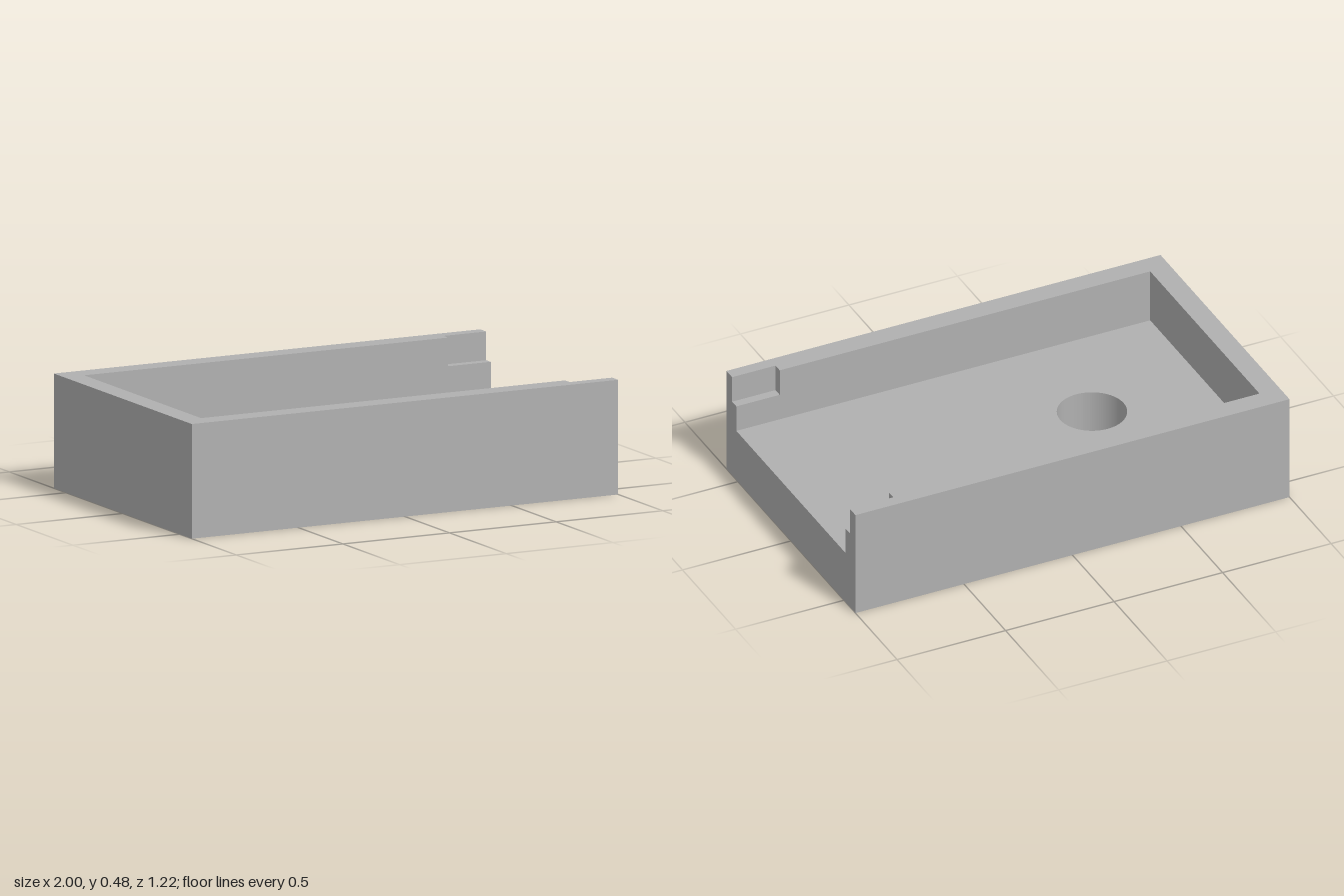
import * as THREE from 'three';

const HALF_X = 1, HALF_Z = 0.608, HEIGHT = 0.484;
const FLOOR_TOP = 0.242, LEDGE_Y = 0.363;       // tray floor and notch ledge heights
const INNER_X = -0.907, INNER_Z = 0.515;        // cavity limits
const NOTCH_X = 0.8, NOTCH_Z = 0.555;           // notches at the open end

export function createModel() {
  const group = new THREE.Group();
  group.name = 'openEndedTray';
  const grey = new THREE.MeshStandardMaterial({ color: 0xb0b0b0 });
  grey.name = 'plain grey';

  // Extrudes a plan outline upwards from y0 to y1
  const addLayer = (name, shape, y0, y1) => {
    const geometry = new THREE.ExtrudeGeometry(shape, { depth: y1 - y0, bevelEnabled: false, curveSegments: 48 });
    geometry.rotateX(-Math.PI / 2).translate(0, y0, 0);
    const mesh = new THREE.Mesh(geometry, grey);
    mesh.name = name;
    group.add(mesh);
  };

  // U-shaped wall plan, mirrored from the inner edge of one side
  const wallPlan = (innerEdge) => new THREE.Shape([
    [HALF_X, HALF_Z], [-HALF_X, HALF_Z], [-HALF_X, -HALF_Z], [HALF_X, -HALF_Z],
    ...innerEdge.map(([x, z]) => [x, -z]),
    ...[...innerEdge].reverse(),
  ].map(([x, z]) => new THREE.Vector2(x, z)));

  // Thick floor with a round through-hole
  const floor = new THREE.Shape([
    new THREE.Vector2(-HALF_X, -HALF_Z), new THREE.Vector2(HALF_X, -HALF_Z),
    new THREE.Vector2(HALF_X, HALF_Z), new THREE.Vector2(-HALF_X, HALF_Z),
  ]);
  floor.holes.push(new THREE.Path().absarc(-0.387, 0, 0.146, 0, Math.PI * 2, true));
  addLayer('floor', floor, 0, FLOOR_TOP);

  // Walls on three sides, open towards +x
  addLayer('lowerWalls', wallPlan([[HALF_X, INNER_Z], [INNER_X, INNER_Z]]), FLOOR_TOP, LEDGE_Y);

  // Upper walls, thinned by a notch at each open end
  addLayer('notchedUpperWalls', wallPlan([
    [HALF_X, NOTCH_Z], [NOTCH_X, NOTCH_Z], [NOTCH_X, INNER_Z], [INNER_X, INNER_Z],
  ]), LEDGE_Y, HEIGHT);

  return group;
}
